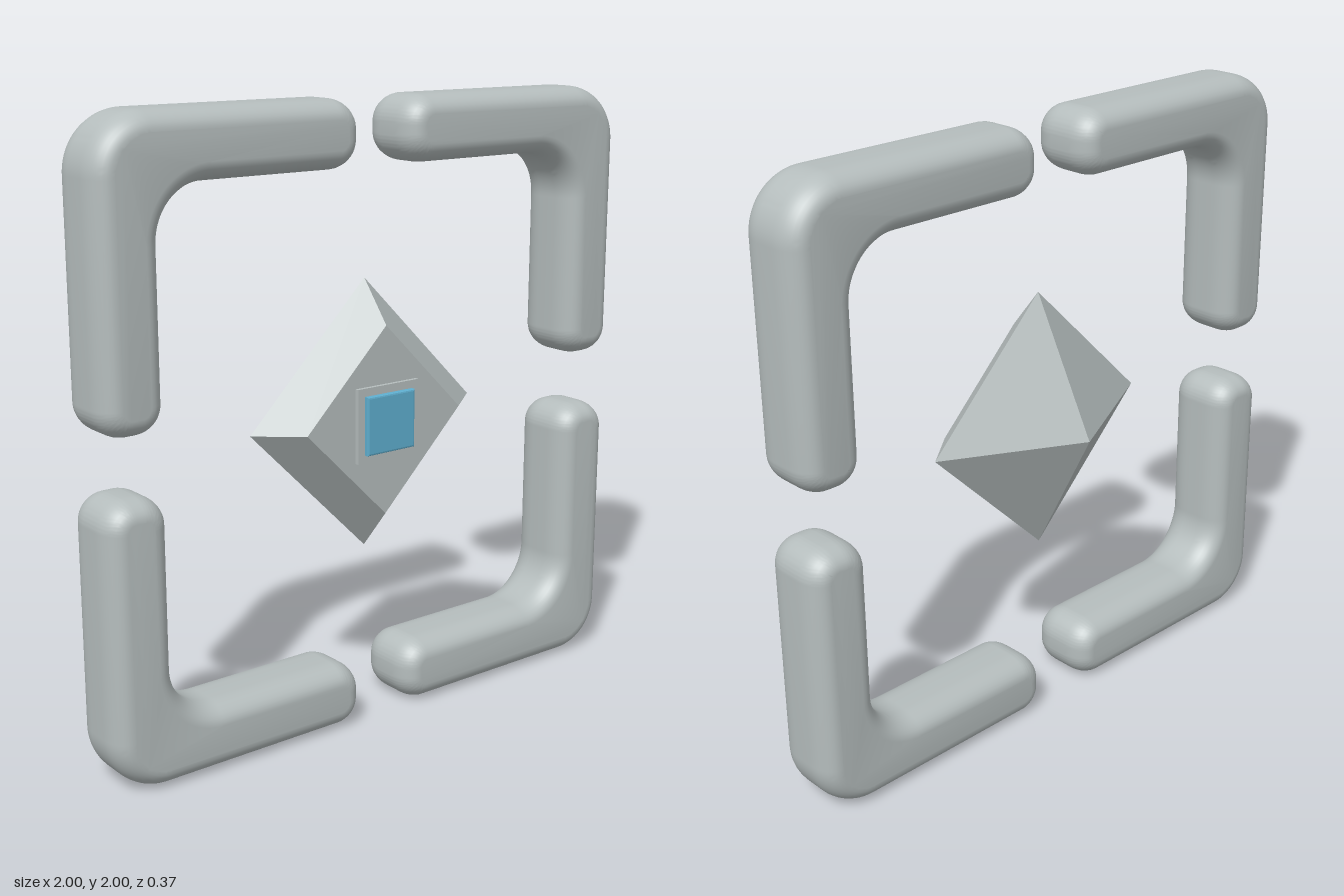
import * as THREE from 'three';
import { toCreasedNormals } from 'three/addons/utils/BufferGeometryUtils.js';

const MID_Z = 0.045; // shared middle plane of brackets and gem

// Rounded L outline in the +x +y quadrant, measured from the centre
function bracketShape() {
  const near = 0.09, inner = 0.79, outer = 1, end = 0.09, fillet = 0.16, corner = 0.18;
  const k = Math.PI / 2;
  const s = new THREE.Shape();
  s.moveTo(near + end, inner);
  s.lineTo(inner - fillet, inner);
  s.absarc(inner - fillet, inner - fillet, fillet, k, 0, true);
  s.lineTo(inner, near + end);
  s.absarc(inner + end, near + end, end, 2 * k, 3 * k, false);
  s.absarc(outer - end, near + end, end, -k, 0, false);
  s.lineTo(outer, outer - corner);
  s.absarc(outer - corner, outer - corner, corner, 0, k, false);
  s.lineTo(near + end, outer);
  s.absarc(near + end, outer - end, end, k, 2 * k, false);
  s.absarc(near + end, inner + end, end, 2 * k, 3 * k, false);
  return s;
}

function bracketGeometry() {
  const depth = 0.24, bevel = 0.085;
  const g = new THREE.ExtrudeGeometry(bracketShape(), {
    depth: depth - 2 * bevel, bevelEnabled: true, bevelThickness: bevel,
    bevelSize: 0.06, bevelOffset: -0.06, bevelSegments: 8, curveSegments: 12,
  });
  g.translate(0, 0, -(depth - 2 * bevel) / 2);
  return toCreasedNormals(g, 0.7);
}

// Four-sided faceted section along z, with corners on the x and y axes
function facetedSection(frontRadius, backRadius, length, z, open) {
  let g = new THREE.CylinderGeometry(frontRadius, backRadius, length, 4, 1, open);
  g.rotateX(Math.PI / 2);
  g.translate(0, 0, z);
  g = g.toNonIndexed();
  g.computeVertexNormals();
  return g;
}

export function createModel() {
  const model = new THREE.Group();
  model.name = 'gemInBrackets';
  const grey = new THREE.MeshStandardMaterial({ color: 0xb5bdbd });
  grey.name = 'pale grey';
  const blue = new THREE.MeshStandardMaterial({ color: 0x5fafd0 });
  blue.name = 'sky blue';

  function add(name, geometry, material, parent) {
    const mesh = new THREE.Mesh(geometry, material);
    mesh.name = name;
    parent.add(mesh);
    return mesh;
  }

  // Four corner brackets, turned about the centre
  const bracket = bracketGeometry();
  ['topLeftBracket', 'topRightBracket', 'bottomRightBracket', 'bottomLeftBracket'].forEach((name, i) => {
    const mesh = add(name, bracket, grey, model);
    mesh.position.set(0, 1, MID_Z);
    mesh.rotation.z = i * Math.PI / 2;
  });

  // Gem: truncated front and pointed back
  const gem = new THREE.Group();
  gem.name = 'gem';
  gem.position.y = 1;
  model.add(gem);
  const frontZ = 0.155, backZ = -0.185;
  add('gemFront', facetedSection(0.305, 0.44, frontZ - MID_Z, (frontZ + MID_Z) / 2, true), grey, gem);
  add('gemBack', facetedSection(0.44, 0, MID_Z - backZ, (MID_Z + backZ) / 2, true), grey, gem);
  const face = new THREE.CircleGeometry(0.305, 4);
  add('gemFace', face, grey, gem).position.z = frontZ;

  // Square bezel and blue window on the front face
  add('bezel', new THREE.BoxGeometry(0.24, 0.24, 0.02), grey, gem).position.z = 0.158;
  const w = 0.088;
  const pane = new THREE.Shape([[-w, -w], [w, -w], [w, w], [-w, w]].map(p => new THREE.Vector2(...p)));
  const paneGeometry = new THREE.ExtrudeGeometry(pane, {
    depth: 0.014, bevelThickness: 0.004, bevelSize: 0.006, bevelSegments: 2,
  });
  add('window', paneGeometry, blue, gem).position.z = 0.167;

  return model;
}
